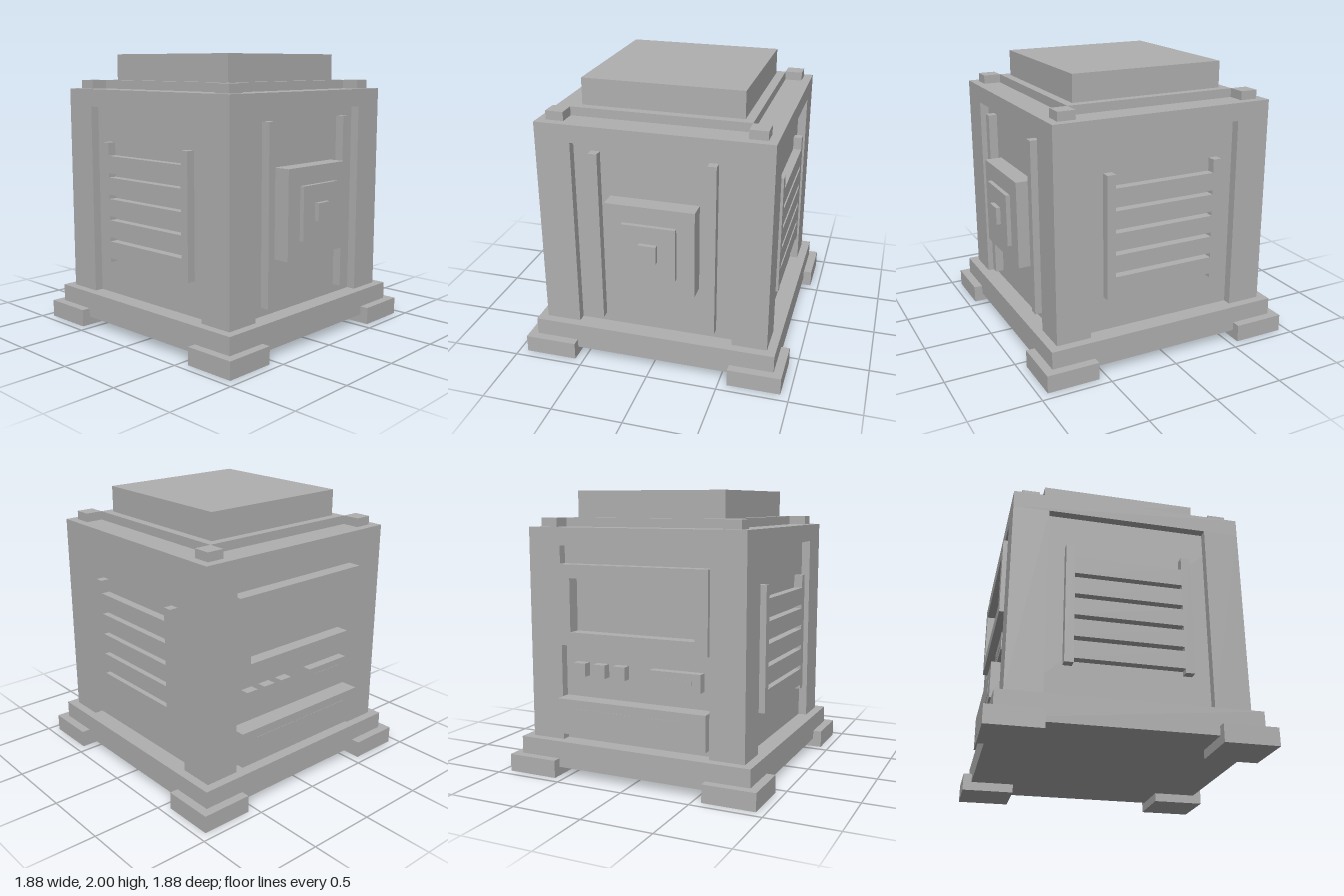
import * as THREE from 'three';

export function createModel() {
  const model = new THREE.Group();
  model.name = 'kiosk';
  const grey = new THREE.MeshStandardMaterial({ color: 0xb0b0b0 });
  grey.name = 'grey';

  // Box given by its minimum and maximum corners
  function box(name, parent, x0, x1, y0, y1, z0, z1) {
    const mesh = new THREE.Mesh(new THREE.BoxGeometry(x1 - x0, y1 - y0, z1 - z0), grey);
    mesh.position.set((x0 + x1) / 2, (y0 + y1) / 2, (z0 + z1) / 2);
    mesh.name = name;
    parent.add(mesh);
    return mesh;
  }
  // Box repeated at the four corners, between distances a and b from the centre
  function corners(name, a, b, y0, y1) {
    for (const sx of [-1, 1]) for (const sz of [-1, 1]) {
      const m = box(name, model, a, b, y0, y1, a, b);
      m.position.x *= sx;
      m.position.z *= sz;
    }
  }
  const square = (name, r, y0, y1) => box(name, model, -r, r, y0, y1, -r, r);
  function group(name, angle) {
    const g = new THREE.Group();
    g.name = name;
    g.rotation.y = angle;
    model.add(g);
    return g;
  }

  // Body: recessed core framed by pillars and a top rim
  corners('foot', 0.5625, 0.9375, 0, 0.125);
  square('base', 0.875, 0.0625, 0.25);
  square('core', 0.75, 0.25, 1.625);
  corners('pillar', 0.5625, 0.8125, 0.25, 1.625);
  square('topRim', 0.8125, 1.625, 1.75);
  square('lidPlate', 0.625, 1.75, 1.8125);
  square('lid', 0.5625, 1.8125, 2);
  corners('topStud', 0.625, 0.75, 1.75, 1.8125);

  // Front: two rails and a stepped square emblem
  const front = group('frontPanel', 0);
  for (const x of [-0.4375, 0.375]) box('frontRail', front, x, x + 0.0625, 0.3125, 1.5625, 0.75, 0.8125);
  box('largeStep', front, -0.3125, 0.3125, 0.625, 1.25, 0.75, 0.875);
  box('middleStep', front, -0.1875, 0.1875, 0.75, 1.125, 0.875, 0.906);
  box('smallStep', front, -0.0625, 0.0625, 0.875, 1, 0.906, 0.9375);

  // Sides: vent grilles between two posts
  for (const s of [-1, 1]) {
    const side = group(s > 0 ? 'leftGrille' : 'rightGrille', s * Math.PI / 2);
    for (const x of [-0.4375, 0.375]) box('grillePost', side, x, x + 0.0625, 0.5, 1.375, 0.75, 0.8125);
    for (let i = 0; i < 5; i++) {
      const y = 0.531 + i * 0.15625;
      box('slat', side, -0.375, 0.375, y, y + 0.125, 0.75, 0.8125);
    }
  }

  // Back: built facing +z, then turned round
  const back = group('backPanel', Math.PI);
  for (const y of [0.9375, 1.406]) box('screenFrameBar', back, -0.5625, 0.5625, y, y + 0.094, 0.75, 0.844);
  for (const x of [-0.5625, 0.469]) box('screenFrameSide', back, x, x + 0.0935, 1.0315, 1.406, 0.75, 0.844);
  for (let i = 0; i < 3; i++) {
    const x = -0.469 + i * 0.15625;
    box('button', back, x, x + 0.094, 0.719, 0.8125, 0.75, 0.8125);
  }
  box('slotBox', back, 0.125, 0.5, 0.6875, 0.8125, 0.75, 0.8125);
  box('slot', back, 0.1875, 0.4375, 0.735, 0.765, 0.8125, 0.8145);
  box('drawer', back, -0.5625, 0.5625, 0.3125, 0.5625, 0.75, 0.875);
  box('drawerPlate', back, -0.4375, 0.4375, 0.375, 0.5, 0.875, 0.877);

  return model;
}
